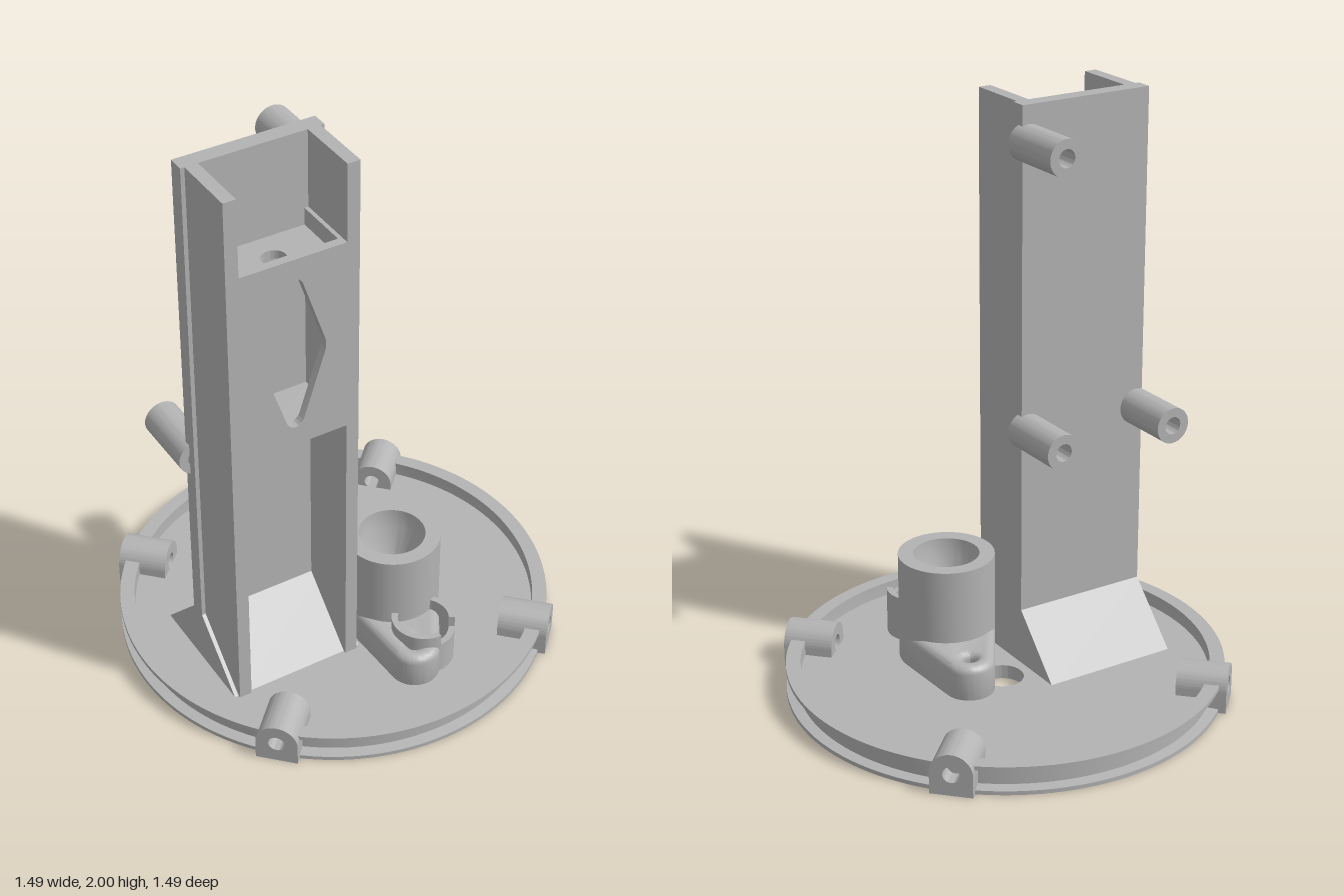
import * as THREE from 'three';
import { toCreasedNormals } from 'three/addons/utils/BufferGeometryUtils.js';

const grey = new THREE.MeshStandardMaterial({ color: 0xb3b3b3 });
grey.name = 'grey plastic';

function add(parent, name, geometry, x = 0, y = 0, z = 0) {
  const mesh = new THREE.Mesh(toCreasedNormals(geometry, 0.6), grey);
  mesh.name = name;
  mesh.position.set(x, y, z);
  parent.add(mesh);
  return mesh;
}

const box = (w, h, d) => new THREE.BoxGeometry(w, h, d);
const circle = (x, y, r, C = THREE.Path) => new C().absarc(x, y, r, 0, Math.PI * 2);
const extrude = (shape, depth, options = {}) =>
  new THREE.ExtrudeGeometry(shape, { depth, bevelEnabled: false, curveSegments: 32, ...options });
// Extrude a plan shape upwards; shape y becomes -z
const raise = (shape, depth, options) => extrude(shape, depth, options).rotateX(-Math.PI / 2);
const lathe = (pts, n = 96) =>
  new THREE.LatheGeometry(pts.map(([r, y]) => new THREE.Vector2(r, y)), n);

function ring(r, hole) {
  const s = circle(0, 0, r, THREE.Shape);
  s.holes.push(circle(0, 0, hole));
  return s;
}

function buildBase(root) {
  const FLOOR = 0.05;
  const floor = circle(0, 0, 0.7, THREE.Shape);
  floor.holes.push(circle(0.03, 0.06, 0.074));
  add(root, 'baseFloor', raise(floor, FLOOR, { curveSegments: 64 }));

  // Rim with a groove running round its outside
  add(root, 'groovedRim', lathe([
    [0.69, 0], [0.745, 0], [0.745, 0.014], [0.708, 0.018], [0.708, 0.082],
    [0.745, 0.086], [0.745, 0.1], [0.695, 0.1], [0.695, FLOOR], [0.69, 0],
  ], 128));

  // Four radial arched lugs, each with a bore
  const arch = new THREE.Shape();
  arch.moveTo(-0.071, 0);
  arch.lineTo(0.071, 0);
  arch.lineTo(0.071, 0.074);
  arch.absarc(0, 0.074, 0.071, 0, Math.PI);
  arch.closePath();
  arch.holes.push(circle(0, 0.074, 0.028));
  for (let i = 0; i < 4; i++) {
    const lug = add(root, 'rimLug', extrude(arch, 0.17).translate(0, 0, 0.597));
    lug.rotation.y = -Math.PI / 6 + i * Math.PI / 2;
  }
}

function buildTower(root) {
  const tower = new THREE.Group();
  tower.name = 'tower';
  tower.position.set(-0.257, 0, 0.21);
  tower.rotation.y = THREE.MathUtils.degToRad(15);
  root.add(tower);

  const W = 0.483, BACK = -0.141, FRONT = 0.141, T = 0.056;
  const inner = BACK + T, depth = FRONT - inner, midZ = (FRONT + inner) / 2;

  // Open-fronted channel
  add(tower, 'backPlate', box(W, 1.97, T), 0, 1.015, BACK + T / 2);
  for (const s of [-1, 1])
    add(tower, 'sideWall', box(0.044, 1.97, depth), s * 0.2055, 1.015, midZ);

  // Wedge foot, sloping to the back and to the front
  const foot = new THREE.Shape();
  foot.moveTo(0.341, 0.04);
  foot.lineTo(-FRONT, 0.04);
  foot.lineTo(-inner, 0.25);
  foot.lineTo(-BACK, 0.25);
  foot.closePath();
  add(tower, 'wedgeFoot', extrude(foot, W).translate(0, 0, -W / 2).rotateY(Math.PI / 2));

  // Compartment across the channel, with a diamond window
  const Y0 = 1.04, Y1 = 1.73, H = Y1 - Y0, CW = 0.367, P = 0.03;
  const panel = new THREE.Shape();
  panel.moveTo(-CW / 2, -H / 2);
  panel.lineTo(CW / 2, -H / 2);
  panel.lineTo(CW / 2, H / 2);
  panel.lineTo(-CW / 2, H / 2);
  panel.closePath();
  const diamond = new THREE.Path();
  diamond.moveTo(0.03, 0.255);
  diamond.quadraticCurveTo(0, 0.3, -0.03, 0.255);
  diamond.lineTo(-0.103, 0.035);
  diamond.quadraticCurveTo(-0.117, 0, -0.103, -0.035);
  diamond.lineTo(-0.03, -0.255);
  diamond.quadraticCurveTo(0, -0.3, 0.03, -0.255);
  diamond.lineTo(0.103, -0.035);
  diamond.quadraticCurveTo(0.117, 0, 0.103, 0.035);
  diamond.closePath();
  panel.holes.push(diamond);
  add(tower, 'windowPanel', extrude(panel, P), 0, (Y0 + Y1) / 2, FRONT - P);

  add(tower, 'compartmentFloor', box(CW, 0.03, depth - P), 0, Y0 + 0.015, midZ - P / 2);
  for (const s of [-1, 1])
    add(tower, 'compartmentLiner', box(0.014, H, depth - P), s * (CW / 2 - 0.007), (Y0 + Y1) / 2, midZ - P / 2);
  const shelf = new THREE.Shape();
  shelf.moveTo(-CW / 2, -FRONT + P);
  shelf.lineTo(CW / 2, -FRONT + P);
  shelf.lineTo(CW / 2, -inner);
  shelf.lineTo(-CW / 2, -inner);
  shelf.closePath();
  shelf.holes.push(circle(0, -0.025, 0.041));
  add(tower, 'compartmentShelf', raise(shelf, 0.03), 0, 1.64, 0);

  // Tubular standoffs on the back
  for (const [x, y] of [[0.217, 1.875], [0.217, 0.9], [-0.217, 0.9]])
    add(tower, 'backStandoff', extrude(ring(0.062, 0.03), 0.238), x, y, -0.355);
}

function buildSocket(root) {
  const socket = new THREE.Group();
  socket.name = 'socket';
  socket.position.set(0.16, 0, 0.16);
  root.add(socket);

  // Rounded flange tapering to a screw hole at each end
  const R = 0.165, r = 0.085, d = 0.27, a = Math.asin((R - r) / d), PI = Math.PI;
  const outline = new THREE.Shape();
  outline.absarc(0, d, r, a, PI - a);
  outline.absarc(0, 0, R, PI - a, PI + a);
  outline.absarc(0, -d, r, PI + a, 2 * PI - a);
  outline.absarc(0, 0, R, -a, a);
  for (const s of [-1, 1]) outline.holes.push(circle(0, s * d, 0.024));
  const B = 0.028;
  add(socket, 'flange', raise(outline, 0.104, {
    bevelEnabled: true, bevelSize: B, bevelThickness: B, bevelOffset: -B, bevelSegments: 5, curveSegments: 20,
  }), 0, 0.01 + B, 0);

  // Upright barrel with a tapering bore
  add(socket, 'barrel', lathe([
    [R, 0.04], [R, 0.43], [0.113, 0.43], [0.108, 0.36], [0.02, 0.18], [0, 0.18],
  ], 64));

  // Small cup with a broken lip, beside the front screw hole
  const cup = new THREE.Group();
  cup.name = 'cup';
  cup.position.set(0.05, 0, 0.205);
  socket.add(cup);
  add(cup, 'cupWall', raise(ring(0.107, 0.086), 0.13), 0, 0.04, 0);
  const lip = new THREE.Shape();
  const from = -PI / 4 + 0.5, to = -PI / 4 - 0.5 + 2 * PI;
  lip.absarc(0, 0, 0.107, from, to);
  lip.absarc(0, 0, 0.086, to, from, true);
  lip.closePath();
  add(cup, 'cupLip', raise(lip, 0.041), 0, 0.17, 0);
}

export function createModel() {
  const root = new THREE.Group();
  root.name = 'towerOnRoundBase';
  buildBase(root);
  buildTower(root);
  buildSocket(root);
  return root;
}
